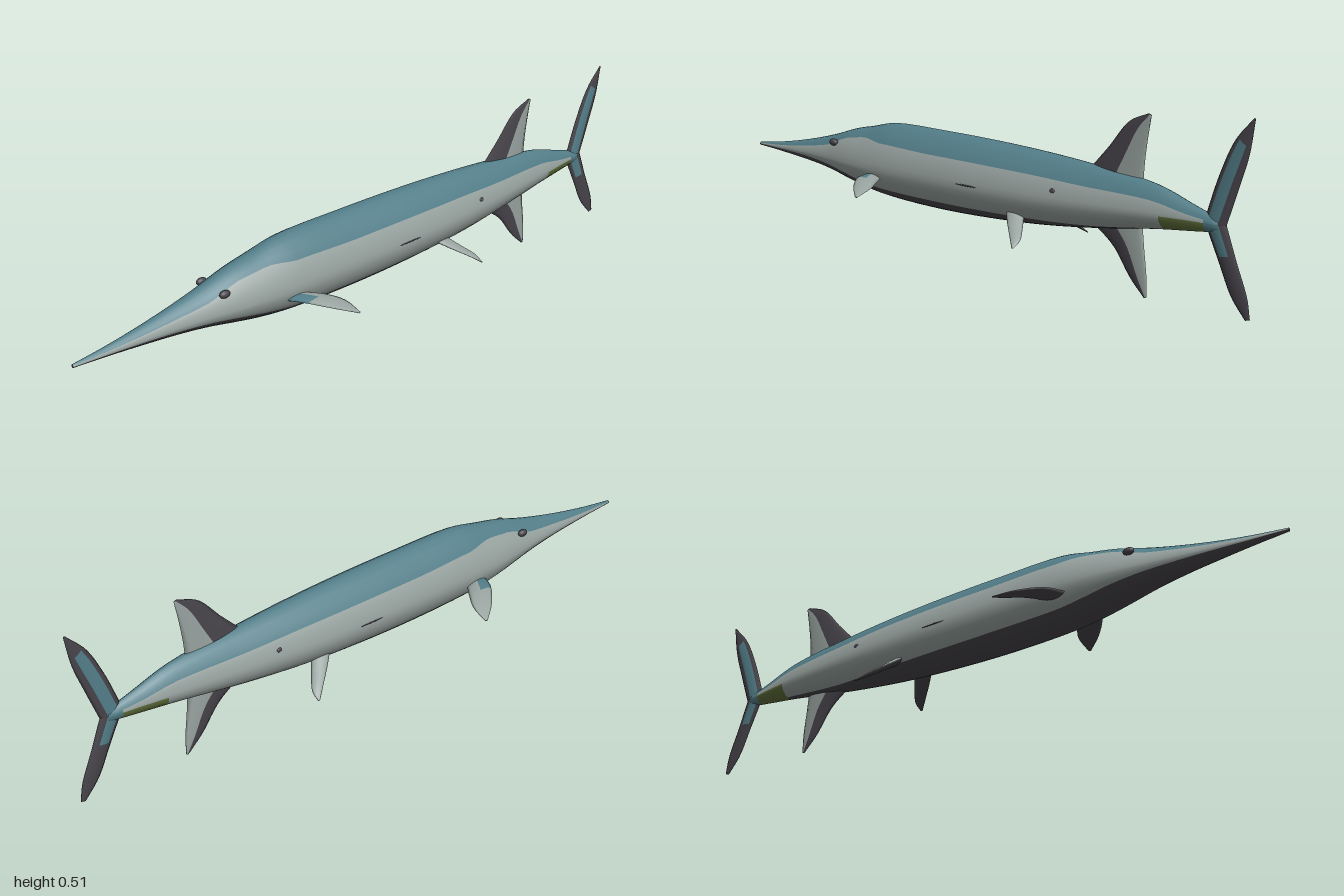
import * as THREE from 'three';

const PALETTE = [['tealBack', 0x537e89], ['paleFlank', 0x98a3a0], ['darkBelly', 0x48454b], ['oliveTail', 0x5f6f3a]];
const TEAL = 0, PALE = 1, DARK = 2, OLIVE = 3;

// Collects indexed triangles per colour so normals stay smooth across colour borders.
function paintedMesh(name, positions, facesByColour, materials) {
  const geometry = new THREE.BufferGeometry();
  geometry.setAttribute('position', new THREE.Float32BufferAttribute(positions, 3));
  const index = [];
  facesByColour.forEach((list, colour) => {
    if (list.length) geometry.addGroup(index.length, list.length, colour);
    for (const v of list) index.push(v);
  });
  geometry.setIndex(index);
  geometry.computeVertexNormals();
  const mesh = new THREE.Mesh(geometry, materials);
  mesh.name = name;
  return mesh;
}

// z, top, bottom, half width, height of widest point, back border angle, belly border angle
const SECTIONS = [
  [1.0, 0.217, 0.207, 0.005, 0.212, 30, -12],
  [0.9, 0.229, 0.202, 0.014, 0.214, 30, -15],
  [0.8, 0.245, 0.195, 0.025, 0.217, 32, -18],
  [0.7, 0.265, 0.187, 0.038, 0.22, 35, -22],
  [0.6, 0.289, 0.175, 0.054, 0.222, 38, -26],
  [0.5, 0.318, 0.156, 0.072, 0.224, 50, -32],
  [0.42, 0.334, 0.142, 0.083, 0.225, 50, -38],
  [0.32, 0.354, 0.131, 0.09, 0.225, 39, -42],
  [0.1, 0.356, 0.125, 0.093, 0.225, 36, -42],
  [-0.1, 0.353, 0.13, 0.092, 0.225, 36, -44],
  [-0.3, 0.345, 0.142, 0.084, 0.226, 36, -48],
  [-0.5, 0.331, 0.164, 0.066, 0.23, 34, -60],
  [-0.7, 0.309, 0.193, 0.042, 0.235, 34, -70],
  [-0.82, 0.273, 0.206, 0.024, 0.236, 25, -75],
  [-0.9, 0.25, 0.215, 0.011, 0.234, 20, -75],
];

function buildBody(materials) {
  // Smooth each section value along the length
  const steps = 56, rows = [];
  const track = (k) => new THREE.CatmullRomCurve3(SECTIONS.map((s) => new THREE.Vector3(s[0], s[k], 0)));
  const tracks = [1, 2, 3, 4, 5, 6].map(track);
  for (let i = 0; i <= steps; i++) {
    const t = i / steps;
    rows.push([tracks[0].getPoint(t).x, ...tracks.map((c) => c.getPoint(t).y)]);
  }
  const positions = [], faces = [[], [], [], []];
  const SEG = 4, half = SEG * 4, ring = half * 2;
  for (const [z, top, bottom, w, mid, upper, lower] of rows) {
    const stops = [-90, lower, 0, upper, 90];
    for (let j = 0; j < ring; j++) {
      const k = j <= half ? j : ring - j;
      const s = Math.min(3, Math.floor(k / SEG));
      const a = THREE.MathUtils.degToRad(THREE.MathUtils.lerp(stops[s], stops[s + 1], k / SEG - s));
      const e = a > 0 ? 1.18 : 1.1;
      const x = w * Math.pow(Math.max(0, Math.cos(a)), e) * (j <= half ? 1 : -1);
      const lift = Math.pow(Math.abs(Math.sin(a)), e);
      positions.push(x, mid + lift * (a > 0 ? top - mid : bottom - mid), z);
    }
  }
  for (let i = 0; i < steps; i++) {
    for (let j = 0; j < ring; j++) {
      const band = Math.floor((j < half ? j : ring - 1 - j) / SEG);
      const z = rows[i][0];
      let colour = [DARK, PALE, PALE, TEAL][band];
      if (z < -0.7 && band < 2) colour = OLIVE;
      if (z < -0.86) colour = TEAL;
      const a = i * ring + j, b = i * ring + (j + 1) % ring;
      faces[colour].push(a, a + ring, b, b, a + ring, b + ring);
    }
  }
  // Close the snout and the tail stalk
  const last = steps * ring;
  for (let j = 1; j < ring - 1; j++) {
    faces[DARK].push(0, j, j + 1);
    faces[TEAL].push(last, last + j + 1, last + j);
  }
  return paintedMesh('body', positions, faces, materials);
}

// Lens-shaped fin lofted between a leading and a trailing edge, root to tip.
function buildFin(name, lead, trail, thick, paint, materials, side = 1) {
  const curve = (pts) => new THREE.CatmullRomCurve3(pts.map(([x, y, z]) => new THREE.Vector3(x * side, y, z)));
  const front = curve(lead), back = curve(trail);
  const chord = back.getPoint(0.4).sub(front.getPoint(0.4));
  const span = front.getPoint(0.9).sub(front.getPoint(0));
  const normal = chord.cross(span).normalize();
  const cols = 10, steps = 14, ring = cols * 2;
  const positions = [], faces = [[], [], [], []];
  for (let i = 0; i <= steps; i++) {
    const t = i / steps, p = front.getPoint(t), q = back.getPoint(t);
    for (let j = 0; j < ring; j++) {
      const f = (j <= cols ? j : ring - j) / cols;
      const h = thick * (1 - 0.85 * t) * Math.pow(Math.sin(Math.PI * f) + 1e-9, 0.7) * (j <= cols ? 1 : -1);
      positions.push(...p.clone().lerp(q, f).addScaledVector(normal, h).toArray());
    }
  }
  for (let i = 0; i < steps; i++) {
    for (let j = 0; j < ring; j++) {
      const f = ((j < cols ? j : ring - 1 - j) + 0.5) / cols;
      const faceUp = (j < cols) === (normal.y > 0);
      const a = i * ring + j, b = i * ring + (j + 1) % ring;
      faces[paint(f, (i + 0.5) / steps, faceUp)].push(a, b, a + ring, b, b + ring, a + ring);
    }
  }
  const tip = steps * ring;
  for (let j = 1; j < ring - 1; j++) faces[paint(0.5, 1, true)].push(tip, tip + j, tip + j + 1);
  return paintedMesh(name, positions, faces, materials);
}

export function createModel() {
  const materials = PALETTE.map(([name, color]) => {
    const m = new THREE.MeshStandardMaterial({ color, side: THREE.DoubleSide });
    m.name = name;
    return m;
  });
  const model = new THREE.Group();
  model.name = 'fish';
  model.add(buildBody(materials));

  // Upright fins, outlined as [z, y] from root to tip
  const flat = (pts) => pts.map(([z, y]) => [0, y, z]);
  const twoTone = (f) => (f < 0.5 ? DARK : PALE);
  const tailPaint = (reach) => (f, t) => (t < reach && f > 0.2 && f < 0.75 ? TEAL : DARK);
  const upright = [
    ['dorsalFin', [[-0.46, 0.315], [-0.53, 0.385], [-0.6, 0.46], [-0.665, 0.487]],
      [[-0.65, 0.29], [-0.655, 0.36], [-0.665, 0.43], [-0.675, 0.483]], 0.01, twoTone],
    ['analFin', [[-0.46, 0.185], [-0.55, 0.125], [-0.61, 0.05], [-0.66, 0.003]],
      [[-0.65, 0.205], [-0.657, 0.14], [-0.667, 0.06], [-0.668, 0.006]], 0.01, twoTone],
    ['upperTailFin', [[-0.85, 0.235], [-0.895, 0.36], [-0.94, 0.45], [-0.995, 0.51]],
      [[-0.92, 0.232], [-0.955, 0.33], [-0.985, 0.42], [-1, 0.508]], 0.01, tailPaint(0.7)],
    ['lowerTailFin', [[-0.85, 0.24], [-0.9, 0.14], [-0.94, 0.06], [-0.985, 0.008]],
      [[-0.92, 0.24], [-0.955, 0.15], [-0.99, 0.065], [-1, 0.012]], 0.009, tailPaint(0.3)],
  ];
  for (const [name, lead, trail, thick, paint] of upright) {
    model.add(buildFin(name, flat(lead), flat(trail), thick, paint, materials));
  }

  for (const side of [1, -1]) {
    const label = side > 0 ? 'left' : 'right';
    // Paired fins: pale above, dark below
    model.add(buildFin(label + 'PectoralFin',
      [[0.07, 0.2, 0.375], [0.13, 0.202, 0.345], [0.19, 0.188, 0.29], [0.227, 0.171, 0.238]],
      [[0.07, 0.198, 0.305], [0.125, 0.198, 0.262], [0.17, 0.188, 0.236], [0.222, 0.171, 0.231]],
      0.011, (f, t, up) => (!up ? DARK : t < 0.35 && f < 0.5 ? TEAL : PALE), materials, side));
    model.add(buildFin(label + 'PelvicFin',
      [[0.055, 0.182, -0.205], [0.09, 0.155, -0.245], [0.125, 0.126, -0.29], [0.149, 0.103, -0.322]],
      [[0.055, 0.165, -0.275], [0.085, 0.142, -0.3], [0.12, 0.118, -0.325], [0.146, 0.102, -0.327]],
      0.01, (f, t, up) => (up ? PALE : DARK), materials, side));

    // Eye, flank spot and flank streak
    const spots = [
      ['Eye', 0.05, 0.274, 0.555, 0.01, 0.011, 0.017],
      ['FlankSpot', 0.07, 0.257, -0.395, 0.004, 0.007, 0.009],
      ['FlankStreak', 0.0915, 0.231, -0.08, 0.002, 0.002, 0.045],
    ];
    for (const [name, x, y, z, sx, sy, sz] of spots) {
      const spot = new THREE.Mesh(new THREE.SphereGeometry(1, 16, 10), materials[DARK]);
      spot.name = label + name;
      spot.position.set(x * side, y, z);
      spot.scale.set(sx, sy, sz);
      model.add(spot);
    }
  }
  return model;
}
